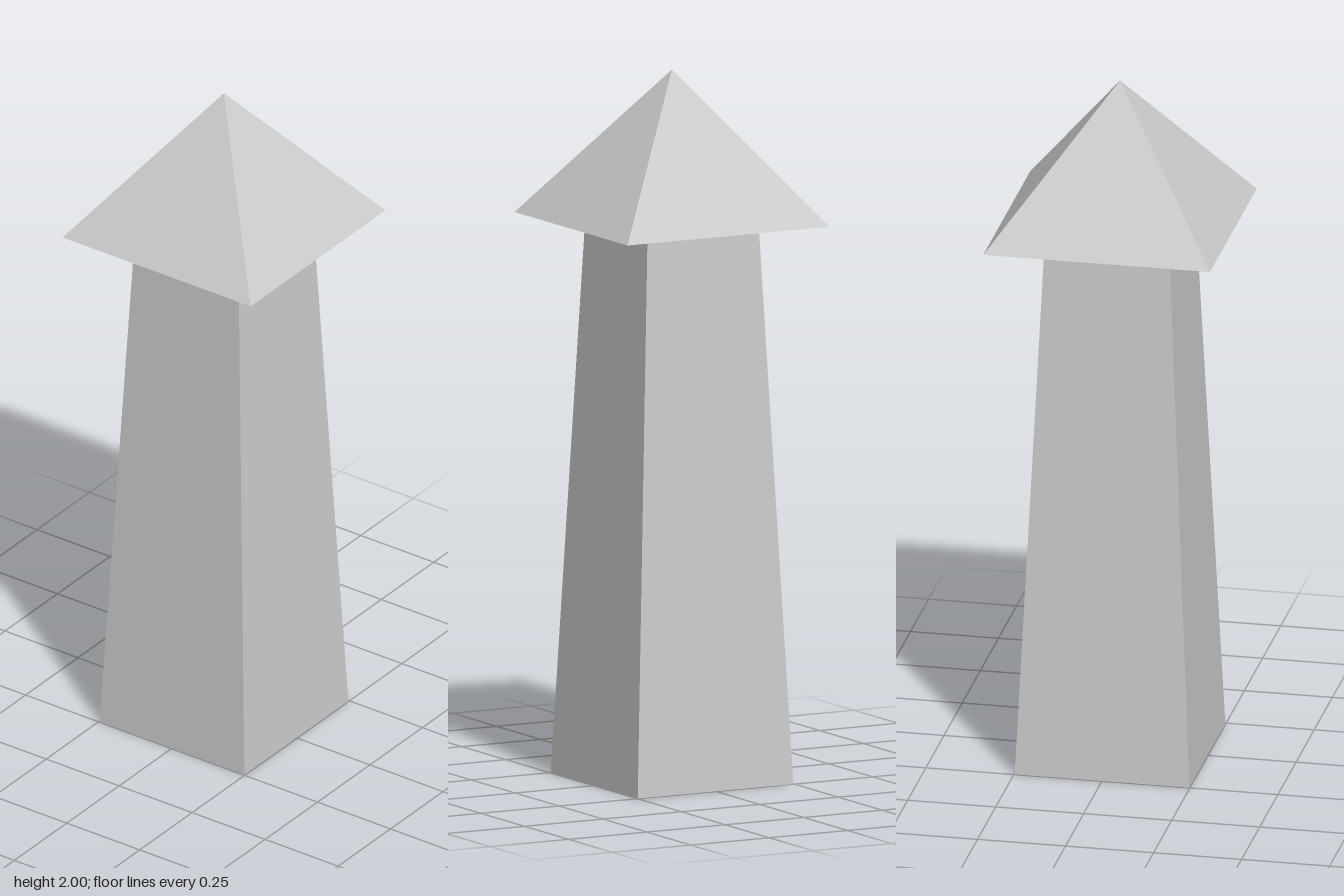
import * as THREE from 'three';

const EAVES = 1.577;

// Square frustum given by its half widths, sides parallel to x and z
function squareFrustum(topHalf, bottomHalf, y0, y1, open) {
  const g = new THREE.CylinderGeometry(
    topHalf * Math.SQRT2, bottomHalf * Math.SQRT2, y1 - y0, 4, 1, open);
  return g.rotateY(Math.PI / 4).translate(0, (y0 + y1) / 2, 0);
}

export function createModel() {
  const model = new THREE.Group();
  const add = (name, geometry, side) => {
    const mesh = new THREE.Mesh(geometry, new THREE.MeshStandardMaterial({
      color: 0xcccccc, flatShading: true, side }));
    mesh.name = name;
    model.add(mesh);
  };

  // Tapered tower shaft, open at the foot
  add('shaft', squareFrustum(0.177, 0.248, 0, EAVES, true), THREE.DoubleSide);

  // Pyramid roof with a flat underside
  add('roof', squareFrustum(0, 0.322, EAVES, 2, false), THREE.FrontSide);

  return model;
}
